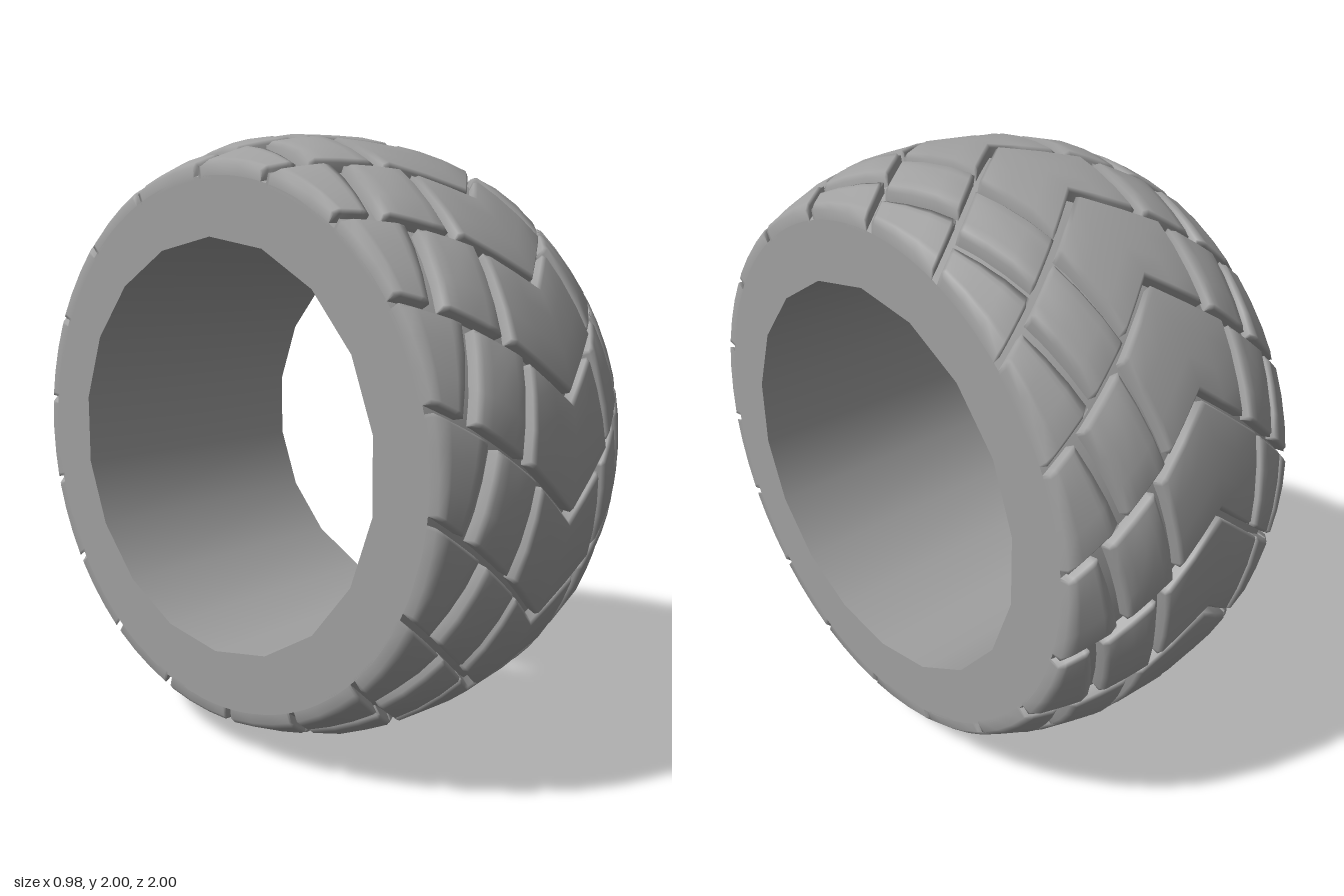
import * as THREE from 'three';

const rubber = new THREE.MeshStandardMaterial({ color: 0xa0a0a0 });
rubber.name = 'grey rubber';

const HALF = 0.49, BORE = 0.66, ROWS = 18, DEPTH = 0.04;
const RAD = Math.PI / 180;

// Tread crown: [distance from the middle, radius]
const CROWN = [[0, 1], [0.2, 0.987], [0.37, 0.938], [HALF, 0.882]];

function crownRadius(x) {
  const a = Math.min(Math.abs(x), HALF);
  let i = 1;
  while (i < CROWN.length - 1 && a > CROWN[i][0]) i++;
  const [x0, r0] = CROWN[i - 1], [x1, r1] = CROWN[i];
  return r0 + (r1 - r0) * (a - x0) / (x1 - x0);
}

// One tread block: bounds are x at the leading edge and at the trailing edge.
// Both edges follow the chevron, and the rim of the top is bevelled.
function blockGeometry(lead, trail, bulge) {
  const width = lead[1] - lead[0];
  const eu = 0.012 / width, ev = 0.04;
  const us = [0, 0, eu, 0.25, 0.5, 0.75, 1 - eu, 1, 1];
  const vs = [0, 0, ev, 0.35, 0.68, 1 - ev, 1, 1];
  const pos = [], index = [];
  vs.forEach((v, j) => us.forEach((u, i) => {
    const ring = Math.min(i, j, us.length - 1 - i, vs.length - 1 - j);
    const lo = lead[0] + (trail[0] - lead[0]) * v;
    const hi = lead[1] + (trail[1] - lead[1]) * v;
    const x = lo + (hi - lo) * u;
    const angle = (-7.5 + 45 * Math.abs(x) + 18.4 * v) * RAD;
    const drop = [DEPTH + 0.01, 0.01, 0][Math.min(ring, 2)];
    const lift = bulge * (1 - Math.abs(2 * u - 1)) * (1 - Math.abs(2 * v - 1));
    const r = crownRadius(x) - drop + lift;
    pos.push(x, r * Math.sin(angle), r * Math.cos(angle));
  }));
  const n = us.length;
  for (let j = 0; j < vs.length - 1; j++) {
    for (let i = 0; i < n - 1; i++) {
      const a = j * n + i, b = a + 1, c = b + n, d = a + n;
      index.push(a, b, c, a, c, d);
    }
  }
  const g = new THREE.BufferGeometry();
  g.setAttribute('position', new THREE.Float32BufferAttribute(pos, 3));
  g.setIndex(index);
  g.computeVertexNormals();
  return g;
}

// Surface of revolution about the x axis, from [x, radius] points
function revolve(points, segments) {
  const g = new THREE.LatheGeometry(
    points.map(([x, r]) => new THREE.Vector2(r, x)), segments, Math.PI / 2);
  return g.rotateZ(-Math.PI / 2);
}

export function createModel() {
  const group = new THREE.Group();
  group.name = 'tyre';
  const wheel = new THREE.Group();
  wheel.name = 'tyreBody';
  wheel.position.y = 1;
  group.add(wheel);

  const add = (name, geometry) => {
    const mesh = new THREE.Mesh(geometry, rubber);
    mesh.name = name;
    wheel.add(mesh);
    return mesh;
  };

  // Carcass under the tread, seen in the grooves
  const half = CROWN.map(([x, r]) => [x, r - DEPTH]);
  const left = half.slice(1).reverse().map(([x, r]) => [-x, r]);
  add('carcass', revolve([...left, ...half], 72));

  // Faceted inner bore
  add('bore', revolve([[HALF, BORE], [-HALF, BORE]], 18));

  // Flat sidewalls with an eighteen-sided opening
  const side = new THREE.Shape();
  side.absarc(0, 0, CROWN[3][1] - DEPTH, 0, Math.PI * 2, false);
  const opening = [];
  for (let i = 0; i < 18; i++) {
    const a = i * 20 * RAD;
    opening.push(new THREE.Vector2(BORE * Math.sin(a), BORE * Math.cos(a)));
  }
  side.holes.push(new THREE.Path(opening));
  for (const s of [1, -1]) {
    const g = new THREE.ShapeGeometry(side, 72).rotateY(s * Math.PI / 2);
    add(s > 0 ? 'leftSidewall' : 'rightSidewall', g.translate(s * HALF, 0, 0));
  }

  // Chevron tread: a centre, two middle and two shoulder blocks in each row
  const mirror = ([a, b]) => [-b, -a];
  const mid = [[0.237, 0.383], [0.187, 0.32]];
  const shoulder = [[0.415, HALF], [0.35, HALF]];
  const blocks = [
    ['centreBlock', blockGeometry([-0.21, 0.21], [-0.16, 0.16], 0)],
    ['leftMiddleBlock', blockGeometry(...mid, 0.012)],
    ['rightMiddleBlock', blockGeometry(...mid.map(mirror), 0.012)],
    ['leftShoulderBlock', blockGeometry(...shoulder, 0)],
    ['rightShoulderBlock', blockGeometry(...shoulder.map(mirror), 0)],
  ];
  for (let k = 0; k < ROWS; k++) {
    for (const [name, geometry] of blocks) {
      add(name, geometry).rotation.x = -k * 2 * Math.PI / ROWS;
    }
  }
  return group;
}
